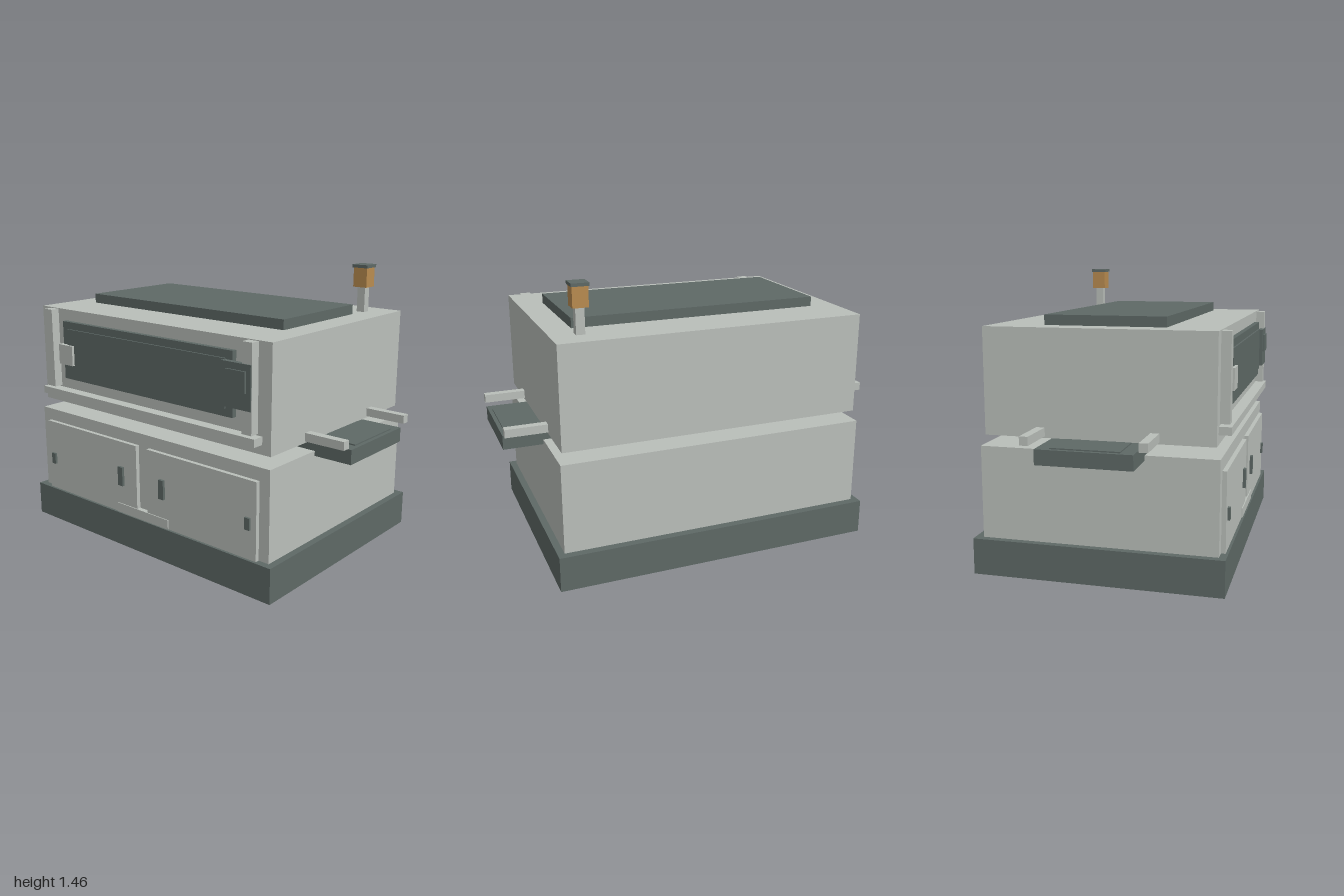
import * as THREE from 'three';

export function createModel() {
  const model = new THREE.Group();
  model.name = 'ovenCabinet';
  const paint = (name, color) => {
    const m = new THREE.MeshStandardMaterial({ color });
    m.name = name;
    return m;
  };
  const steel = paint('paleSteel', 0xbabfba);
  const dark = paint('darkSlate', 0x5e6966);
  const amber = paint('amber', 0xb98c50);

  // Box given by its limits on each axis
  const box = (name, mat, [x0, x1], [y0, y1], [z0, z1]) => {
    const mesh = new THREE.Mesh(new THREE.BoxGeometry(x1 - x0, y1 - y0, z1 - z0), mat);
    mesh.position.set((x0 + x1) / 2, (y0 + y1) / 2, (z0 + z1) / 2);
    mesh.name = name;
    model.add(mesh);
  };
  // The same box on the left and the right side
  const pair = (name, mat, [x0, x1], y, z) => {
    box(name + 'Left', mat, [x0, x1], y, z);
    box(name + 'Right', mat, [-x1, -x0], y, z);
  };

  // Main bodies
  box('base', dark, [-0.835, 0.835], [0, 0.18], [-0.62, 0.615]);
  box('lowerCabinet', steel, [-0.8, 0.8], [0.18, 0.637], [-0.58, 0.58]);
  box('ovenBody', steel, [-0.787, 0.787], [0.69, 1.21], [-0.56, 0.56]);
  box('topPlate', dark, [-0.652, 0.652], [1.21, 1.26], [-0.3, 0.298]);

  // Conveyor shelf passing through, with its belt and side rails
  box('shelf', dark, [-1, 1], [0.612, 0.685], [-0.23, 0.23]);
  box('shelfBelt', dark, [-0.98, 0.98], [0.685, 0.691], [-0.165, 0.165]);
  for (const [end, z] of [['front', 0.275], ['rear', -0.278]]) {
    pair(end + 'Rail', steel, [0.78, 1], [0.698, 0.74], [z - 0.021, z + 0.021]);
  }

  // Signal lamp on the roof
  box('lampPost', steel, [0.62, 0.664], [1.21, 1.34], [-0.436, -0.394]);
  box('lamp', amber, [0.603, 0.681], [1.34, 1.44], [-0.453, -0.377]);
  box('lampCap', dark, [0.598, 0.686], [1.44, 1.456], [-0.459, -0.371]);

  // Oven front: guide posts, sill and window
  pair('guidePost', steel, [0.655, 0.712], [0.783, 1.206], [0.56, 0.607]);
  box('sillRail', steel, [-0.74, 0.738], [0.737, 0.776], [0.56, 0.619]);
  box('windowFrame', dark, [-0.59, 0.585], [0.838, 1.15], [0.56, 0.586]);
  box('windowPane', dark, [-0.545, 0.545], [0.876, 1.112], [0.586, 0.595]);
  box('windowLatch', steel, [-0.605, -0.498], [0.92, 1.027], [0.56, 0.609]);
  box('controlPanel', dark, [0.54, 0.71], [0.895, 1.107], [0.586, 0.613]);
  box('controlScreen', dark, [0.567, 0.684], [0.975, 1.075], [0.613, 0.622]);

  // Cabinet doors with handles, locks and the middle kick plate
  pair('door', steel, [0.038, 0.742], [0.18, 0.572], [0.58, 0.602]);
  pair('doorHandle', dark, [0.13, 0.164], [0.335, 0.437], [0.602, 0.616]);
  pair('doorLock', dark, [0.68, 0.71], [0.33, 0.39], [0.602, 0.614]);
  box('kickPlate', steel, [-0.185, 0.185], [0.18, 0.23], [0.58, 0.607]);

  return model;
}
